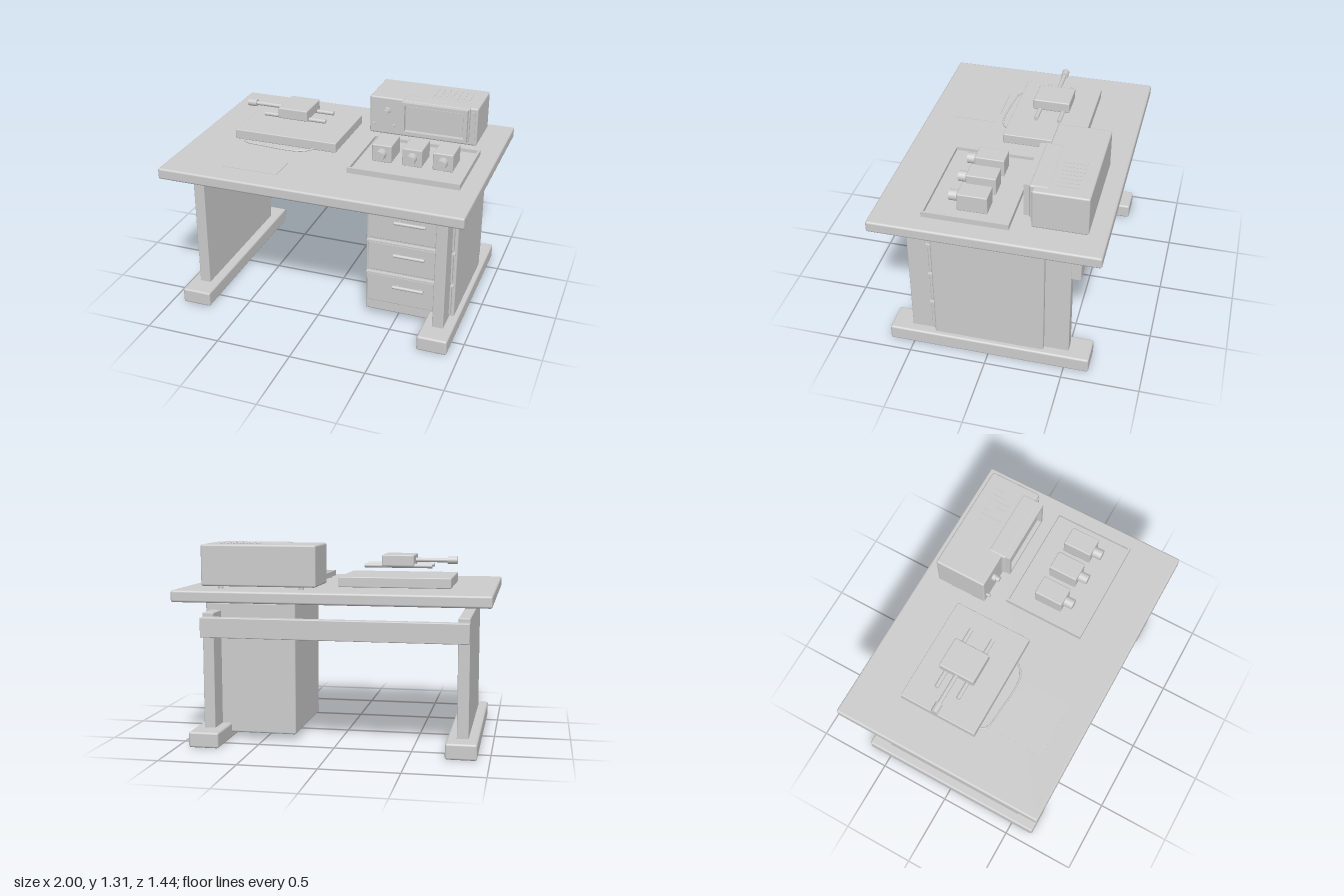
import * as THREE from 'three';
import { RoundedBoxGeometry } from 'three/addons/geometries/RoundedBoxGeometry.js';

export function createModel() {
  const root = new THREE.Group();
  root.name = 'workbench';
  const grey = new THREE.MeshStandardMaterial({ color: 0xcccccc });
  grey.name = 'plain grey';

  const add = (name, geometry, x = 0, y = 0, z = 0) => {
    const mesh = new THREE.Mesh(geometry, grey);
    mesh.name = name;
    mesh.position.set(x, y, z);
    root.add(mesh);
    return mesh;
  };
  // Box from its limits on each axis; r rounds the edges
  const box = (name, [x0, x1], [y0, y1], [z0, z1], r = 0) => {
    const s = [x1 - x0, y1 - y0, z1 - z0];
    const g = r ? new RoundedBoxGeometry(...s, 2, r) : new THREE.BoxGeometry(...s);
    return add(name, g, (x0 + x1) / 2, (y0 + y1) / 2, (z0 + z1) / 2);
  };
  // Cylinder along one axis, centred at x, y, z
  const rod = (name, axis, r, length, x, y, z) => {
    const g = new THREE.CylinderGeometry(r, r, length, 24);
    if (axis === 'x') g.rotateZ(Math.PI / 2);
    if (axis === 'z') g.rotateX(Math.PI / 2);
    return add(name, g, x, y, z);
  };

  // Desk
  box('tableTop', [-1, 1], [0.945, 1.02], [-0.72, 0.72], 0.014);
  for (const s of [-1, 1]) {
    const c = s * 0.823;
    box('legPanel', [c - 0.037, c + 0.037], [0.09, 0.86], [-0.52, 0.52], 0.006);
    box('foot', [c - 0.099, c + 0.099], [0, 0.103], [-0.66, 0.66], 0.014);
  }
  box('backBeam', [-0.86, 0.86], [0.705, 0.835], [-0.58, -0.515], 0.006);

  // Drawer cabinet
  box('cabinet', [0.285, 0.89], [0.04, 0.912], [-0.36, 0.36], 0.012);
  for (let i = 0; i < 3; i++) {
    const y = 0.225 + i * 0.236;
    box('drawerFront', [0.305, 0.87], [y - 0.1, y + 0.105], [0.35, 0.382], 0.005);
    box('drawerLip', [0.297, 0.882], [y + 0.107, y + 0.117], [0.35, 0.388]);
    rod('drawerHandle', 'x', 0.011, 0.205, 0.588, y + 0.043, 0.408);
    for (const x of [0.51, 0.665]) rod('handlePost', 'z', 0.006, 0.03, x, y + 0.043, 0.393);
  }

  // Sliding stage on its base slab
  box('stageBase', [-0.728, -0.01], [1.028, 1.094], [-0.4, 0.13], 0.006);
  for (const z of [-0.215, -0.06]) rod('stageRail', 'x', 0.014, 0.44, -0.37, 1.156, z);
  box('stageBlock', [-0.475, -0.268], [1.154, 1.228], [-0.26, -0.015], 0.008);
  rod('stageRod', 'x', 0.014, 0.22, -0.58, 1.19, -0.138);
  rod('stageKnob', 'x', 0.024, 0.063, -0.714, 1.19, -0.138);

  // Cable lying in front of the slab
  const cablePath = new THREE.CatmullRomCurve3([
    [-0.67, 0.11], [-0.64, 0.165], [-0.5, 0.187], [-0.3, 0.197], [-0.22, 0.18], [-0.15, 0.11],
  ].map(([x, z]) => new THREE.Vector3(x, 1.033, z)));
  add('cable', new THREE.TubeGeometry(cablePath, 40, 0.006, 8));

  // Sheet of paper
  box('paper', [-0.63, -0.25], [1.019, 1.022], [0.24, 0.55]);

  // Measuring instrument
  box('instrumentCase', [0.093, 0.835], [1.04, 1.303], [-0.608, -0.262], 0.012);
  for (const x of [0.2, 0.725]) {
    for (const z of [-0.54, -0.33]) rod('instrumentFoot', 'y', 0.018, 0.026, x, 1.03, z);
  }
  box('screenHousing', [0.325, 0.785], [1.07, 1.306], [-0.355, -0.236], 0.012);

  // Raised frame around the recessed screen
  const frame = new THREE.Shape();
  frame.moveTo(0.332, 1.08).lineTo(0.778, 1.08).lineTo(0.778, 1.303).lineTo(0.332, 1.303).closePath();
  const opening = new THREE.Path();
  opening.moveTo(0.352, 1.1).lineTo(0.352, 1.283).lineTo(0.758, 1.283).lineTo(0.758, 1.1).closePath();
  frame.holes.push(opening);
  add('screenFrame', new THREE.ExtrudeGeometry(frame, { depth: 0.036, bevelEnabled: false }), 0, 0, -0.24);
  box('screen', [0.365, 0.745], [1.112, 1.271], [-0.24, -0.229]);
  box('sideTrim', [0.79, 0.82], [1.07, 1.28], [-0.264, -0.256]);

  // Instrument controls
  rod('dial', 'z', 0.024, 0.03, 0.215, 1.21, -0.252);
  rod('dialCap', 'z', 0.017, 0.03, 0.215, 1.21, -0.229);
  for (const x of [0.125, 0.265]) rod('button', 'z', 0.009, 0.03, x, 1.11, -0.25);

  // Vent bars on the lid
  for (let i = 0; i < 7; i++) {
    const x = 0.5 + i * 0.04;
    box('ventBar', [x - 0.007, x + 0.007], [1.3, 1.305], [-0.53, -0.39]);
  }

  // Tray with a raised rim
  box('trayFloor', [0.168, 0.888], [1.037, 1.052], [-0.14, 0.402]);
  for (const z of [-0.134, 0.396]) box('trayRim', [0.165, 0.891], [1.037, 1.074], [z - 0.007, z + 0.007]);
  for (const x of [0.172, 0.884]) box('trayRim', [x - 0.007, x + 0.007], [1.037, 1.074], [-0.14, 0.402]);
  for (const x of [0.2, 0.855]) {
    for (const z of [-0.1, 0.36]) rod('trayFoot', 'y', 0.012, 0.022, x, 1.029, z);
  }

  // Three sensor units in the tray
  for (const x of [0.33, 0.53, 0.73]) {
    box('sensorBody', [x - 0.065, x + 0.065], [1.05, 1.168], [0.015, 0.207], 0.007);
    rod('sensorLens', 'z', 0.034, 0.07, x, 1.113, 0.232);
  }

  return root;
}
